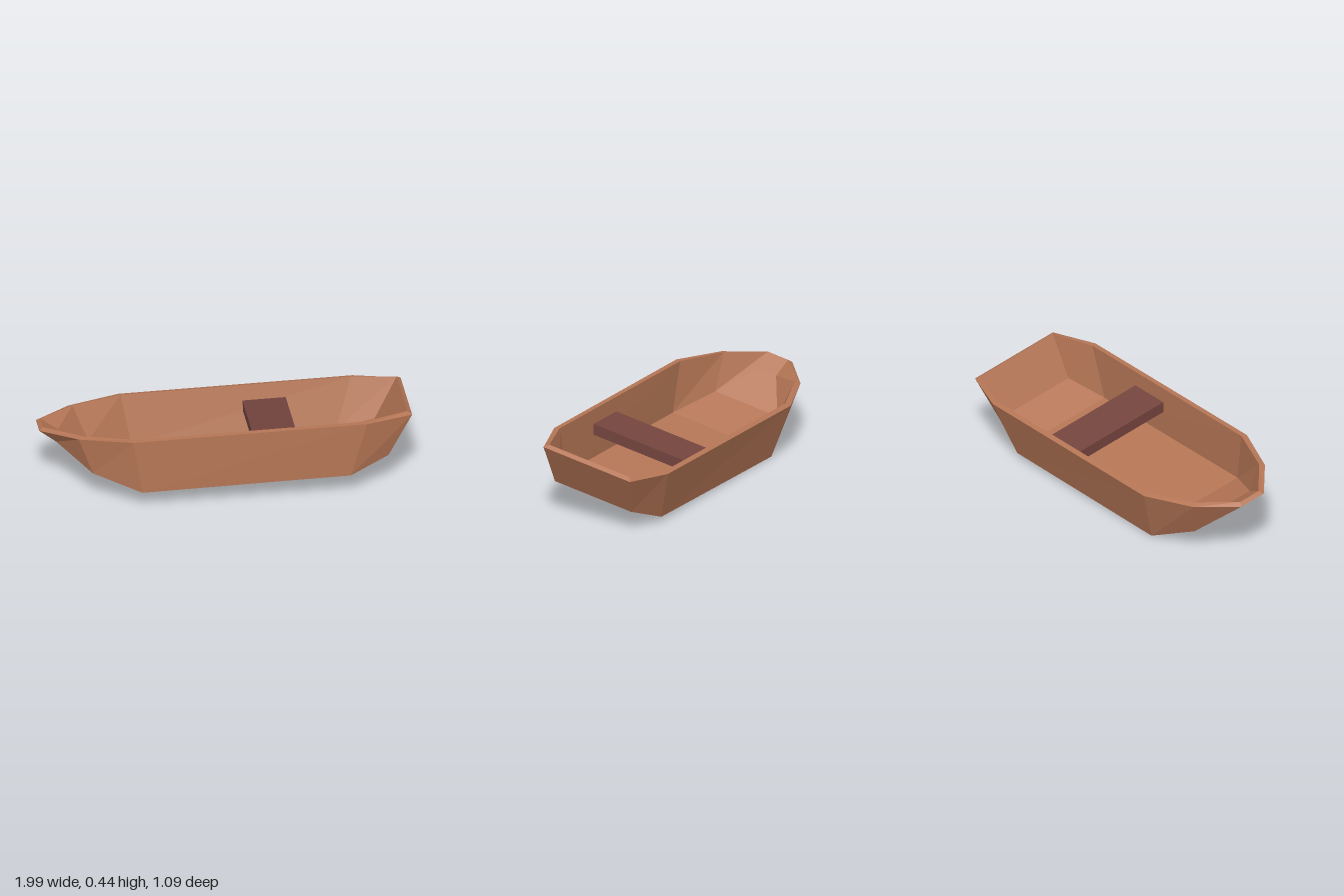
import * as THREE from 'three';

// Stations from stern to bow. Each corner is [along, height, half width].
const STATIONS = [
  { rim: [0.953, 0, 0.275], chine: [0.82, -0.234, 0.242], inRim: [0.93, 0.015, 0.255], inChine: [0.80, -0.202, 0.225] },
  { rim: [0.702, 0, 0.362], chine: [0.606, -0.305, 0.316], inRim: [0.692, 0.005, 0.334], inChine: [0.597, -0.275, 0.297] },
  { rim: [-0.561, 0, 0.364], chine: [-0.52, -0.307, 0.322], inRim: [-0.551, 0.005, 0.334], inChine: [-0.505, -0.277, 0.303] },
  { rim: [-0.843, 0, 0.252], chine: [-0.772, -0.214, 0.218], inRim: [-0.823, 0.009, 0.228], inChine: [-0.748, -0.188, 0.197] },
  { rim: [-1.037, 0, 0.08], chine: [-0.947, -0.075, 0.066], inRim: [-1.014, 0.014, 0.064], inChine: [-0.922, -0.055, 0.058] },
];

function hullGeometry() {
  const left = ([x, y, h]) => [x, y, h];
  const right = ([x, y, h]) => [x, y, -h];
  // Closed section: down the outside, across, up, then back along the inside
  const loops = STATIONS.map(({ rim, chine, inRim, inChine }) => [
    left(rim), left(chine), right(chine), right(rim),
    right(inRim), right(inChine), left(inChine), left(inRim),
  ]);
  const positions = [];
  const quad = (a, b, c, d) => [a, b, c, a, c, d].forEach((p) => positions.push(...p));

  // Planking and gunwales
  for (let i = 0; i < loops.length - 1; i++) {
    const p = loops[i], q = loops[i + 1];
    for (let k = 0; k < 8; k++) {
      const n = (k + 1) % 8;
      quad(p[k], q[k], q[n], p[n]);
    }
  }
  // Transom at each end: outer face, inner face, top edge
  for (const face of [[0, 1, 2, 3], [4, 5, 6, 7], [0, 3, 4, 7]]) {
    quad(...face.map((k) => loops[0][k]));
    quad(...face.map((k) => loops[loops.length - 1][k]).reverse());
  }

  const geometry = new THREE.BufferGeometry();
  geometry.setAttribute('position', new THREE.Float32BufferAttribute(positions, 3));
  geometry.computeVertexNormals();
  return geometry;
}

export function createModel() {
  const hullWood = new THREE.MeshStandardMaterial({ color: 0xb47555, flatShading: true });
  hullWood.name = 'hullWood';
  const seatWood = new THREE.MeshStandardMaterial({ color: 0x74443e, flatShading: true });
  seatWood.name = 'seatWood';

  const boat = new THREE.Group();
  boat.name = 'rowingBoat';

  const hull = new THREE.Mesh(hullGeometry(), hullWood);
  hull.name = 'hull';

  // Thwart spanning the hull, its ends let into the side walls
  const seat = new THREE.Mesh(new THREE.BoxGeometry(0.233, 0.06, 0.65), seatWood);
  seat.name = 'seat';
  seat.position.set(0.219, -0.11, 0);

  boat.add(hull, seat);

  // The boat lies turned and heeled to one side
  boat.rotation.set(-0.165, 0.332, 0.022, 'YXZ');
  boat.position.set(0.007, 0.363, 0.019);

  const model = new THREE.Group();
  model.name = 'model';
  model.add(boat);
  return model;
}
